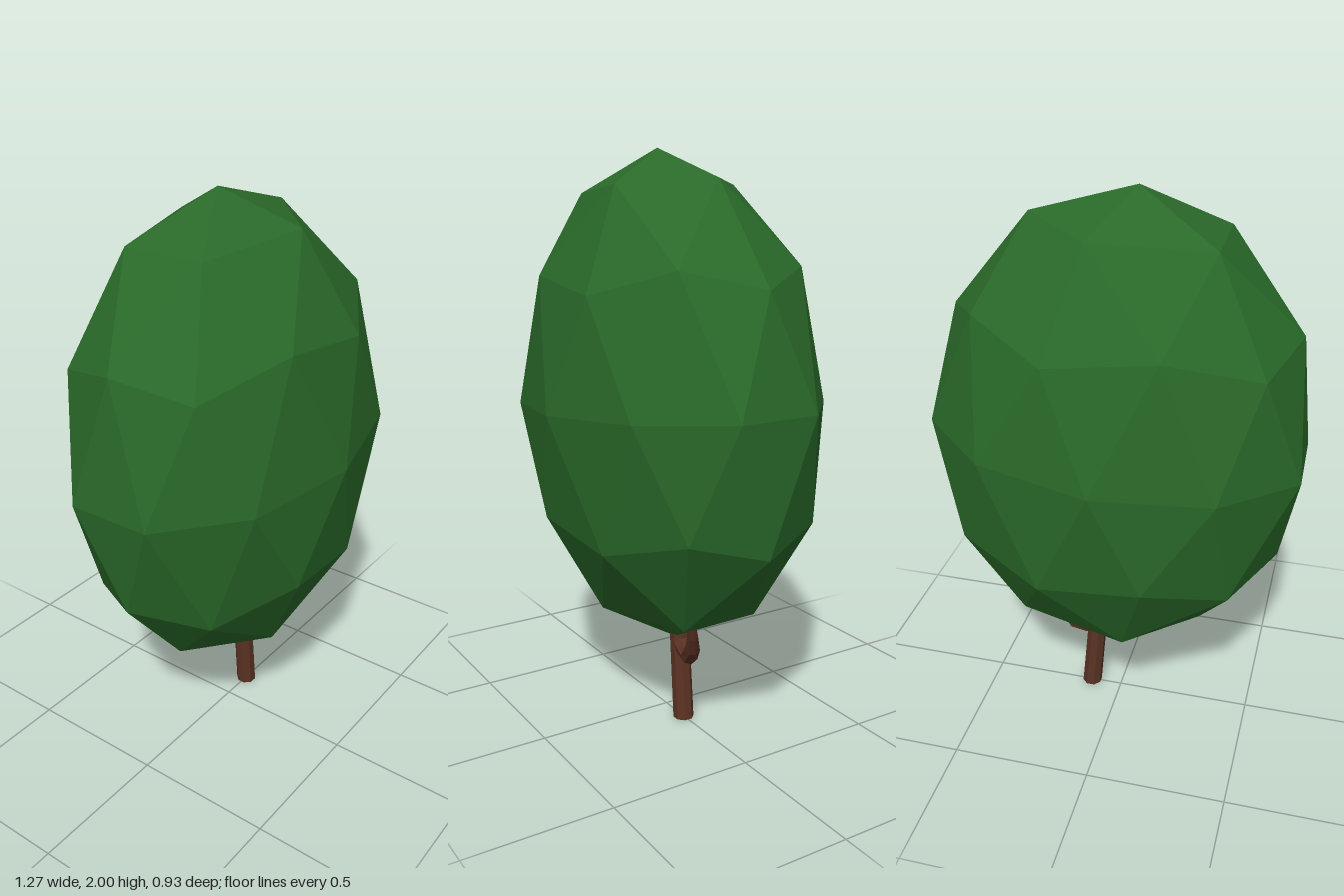
import * as THREE from 'three';

const leafMaterial = new THREE.MeshStandardMaterial({ color: 0x2a6a2a, flatShading: true });
const barkMaterial = new THREE.MeshStandardMaterial({ color: 0x5c3324, flatShading: true });

function part(name, geometry, material) {
  const mesh = new THREE.Mesh(geometry, material);
  mesh.name = name;
  return mesh;
}

// Once-subdivided icosahedron standing on a pole, with an upper corner towards +x
function icosphere() {
  const corners = [0, 1, 0];
  const h = 1 / Math.sqrt(5), r = 2 * h;
  for (const [y, turn] of [[h, 0], [-h, Math.PI / 5]]) {
    for (let i = 0; i < 5; i++) {
      const a = turn + i * Math.PI * 2 / 5;
      corners.push(r * Math.cos(a), y, -r * Math.sin(a));
    }
  }
  corners.push(0, -1, 0);
  const faces = [];
  for (let i = 0; i < 5; i++) {
    const n = (i + 1) % 5;
    faces.push(0, 1 + i, 1 + n, 1 + i, 6 + i, 1 + n, 6 + i, 6 + n, 1 + n, 11, 6 + n, 6 + i);
  }
  return new THREE.PolyhedronGeometry(corners, faces, 1, 1);
}

// Tapered limb swept through points [x, y, z, radius], closed at both ends
function limb(points, sides) {
  const centres = points.map(p => new THREE.Vector3(p[0], p[1], p[2]));
  const last = points.length - 1;
  const positions = [], index = [];
  centres.forEach((c, i) => {
    const t = centres[Math.min(i + 1, last)].clone().sub(centres[Math.max(i - 1, 0)]).normalize();
    const u = new THREE.Vector3().crossVectors(t, new THREE.Vector3(0, 0, 1)).normalize();
    const v = new THREE.Vector3().crossVectors(t, u);
    for (let j = 0; j < sides; j++) {
      const a = j * Math.PI * 2 / sides;
      const p = c.clone().addScaledVector(u, points[i][3] * Math.cos(a)).addScaledVector(v, points[i][3] * Math.sin(a));
      positions.push(p.x, p.y, p.z);
    }
  });
  for (let j = 0; j < sides; j++) {
    const n = (j + 1) % sides;
    for (let i = 0; i < last; i++) {
      const a = i * sides, d = a + sides;
      index.push(a + j, a + n, d + n, a + j, d + n, d + j);
    }
    if (j > 0 && n > 0) {
      const e = last * sides;
      index.push(0, n, j, e, e + j, e + n);
    }
  }
  const geometry = new THREE.BufferGeometry();
  geometry.setAttribute('position', new THREE.Float32BufferAttribute(positions, 3));
  geometry.setIndex(index);
  geometry.computeVertexNormals();
  return geometry;
}

export function createModel() {
  const tree = new THREE.Group();
  tree.name = 'tree';

  // Crown: flattened, slightly tilted
  const crown = part('crown', icosphere(), leafMaterial);
  crown.scale.set(0.667, 0.857, 0.466);
  crown.rotation.set(0, 0.016, 0.068);
  crown.position.set(0, 1.145, 0);
  tree.add(crown);

  // Trunk: leans towards -x, base flat on the ground
  const trunk = new THREE.CylinderGeometry(0.035, 0.037, 0.5, 8);
  trunk.rotateY(Math.PI / 8);
  trunk.translate(0, 0.25, 0);
  trunk.applyMatrix4(new THREE.Matrix4().makeShear(0, 0, -0.085, 0, 0, 0));
  trunk.translate(0.117, 0, 0);
  tree.add(part('trunk', trunk, barkMaterial));

  // Side branch: leaves the trunk, then bends up into the crown
  tree.add(part('branch', limb([
    [0.09, 0.285, 0, 0.032],
    [0.135, 0.272, 0.008, 0.031],
    [0.185, 0.268, 0.02, 0.032],
    [0.23, 0.315, 0.037, 0.027],
    [0.262, 0.375, 0.058, 0.02],
    [0.285, 0.45, 0.08, 0.015],
  ], 7), barkMaterial));

  return tree;
}
